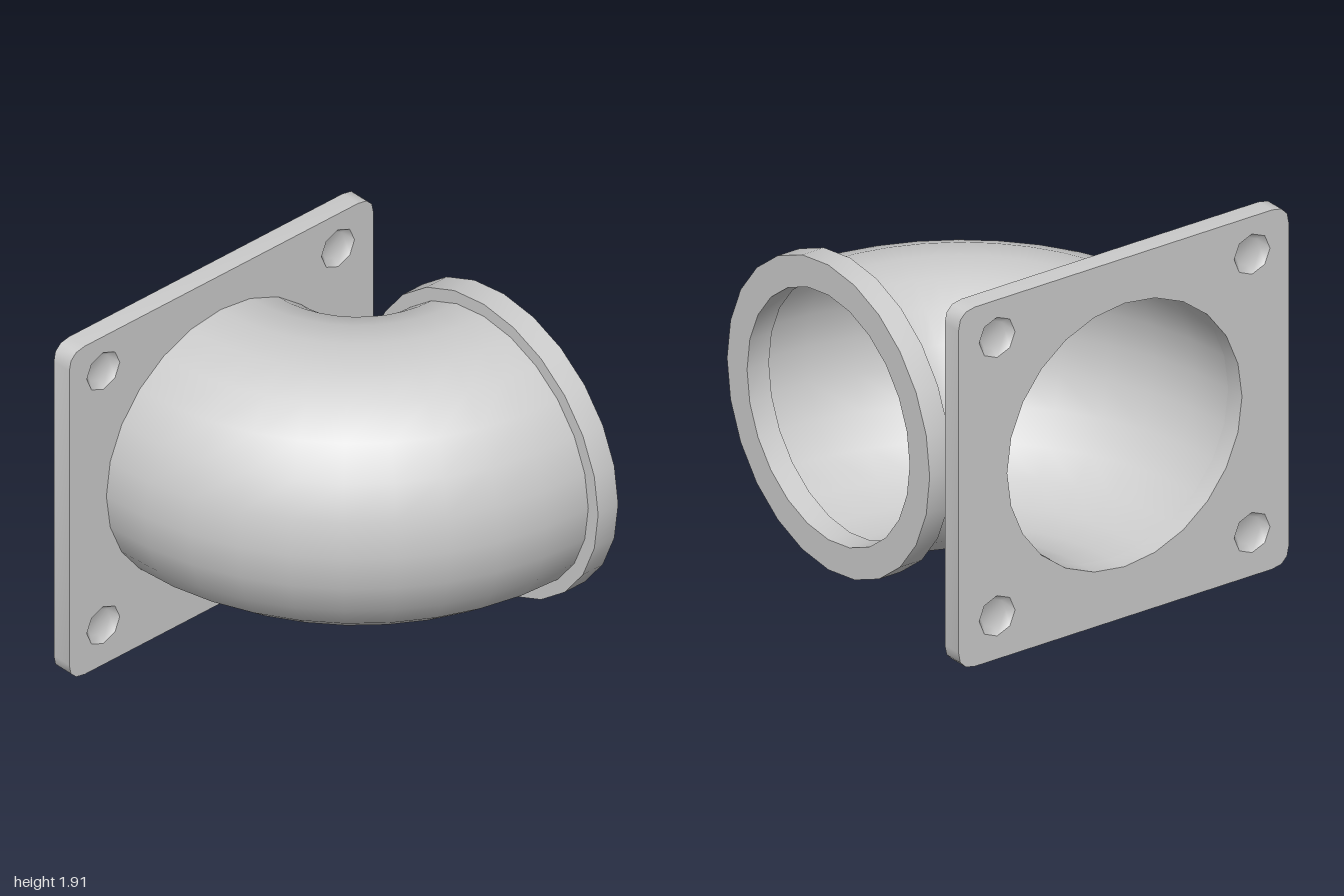
import * as THREE from 'three';
import { toCreasedNormals } from 'three/addons/utils/BufferGeometryUtils.js';

const SIDES = 24;
const CY = 0.97;              // height of the pipe axis
const BEND = 0.89;            // bend radius of the pipe axis
const PIVOT = [0.87, -0.8];   // bend centre in x, z
const PLATE_X = PIVOT[0] - BEND;

function circlePath(x, y, r, sides) {
  const pts = [];
  for (let i = 0; i < sides; i++) {
    const a = (i / sides) * Math.PI * 2;
    pts.push(new THREE.Vector2(x + r * Math.cos(a), y + r * Math.sin(a)));
  }
  return new THREE.Path(pts);
}

function lathe(points, sides) {
  return new THREE.LatheGeometry(points.map(p => new THREE.Vector2(...p)), sides);
}

export function createModel() {
  const group = new THREE.Group();
  const solid = new THREE.MeshStandardMaterial({ color: 0xcccccc });
  const thin = new THREE.MeshStandardMaterial({ color: 0xcccccc, side: THREE.DoubleSide });
  const add = (name, geometry, material) => {
    const mesh = new THREE.Mesh(geometry, material);
    mesh.name = name;
    group.add(mesh);
    return mesh;
  };

  // Square mounting plate with clipped round corners, pipe opening and bolt holes
  const x0 = -1, x1 = 0.97, y0 = 0, y1 = 1.91, c = 0.1;
  const outline = new THREE.Shape();
  outline.moveTo(x0 + c, y0);
  outline.lineTo(x1 - c, y0);
  outline.quadraticCurveTo(x1, y0, x1, y0 + c);
  outline.lineTo(x1, y1 - c);
  outline.quadraticCurveTo(x1, y1, x1 - c, y1);
  outline.lineTo(x0 + c, y1);
  outline.quadraticCurveTo(x0, y1, x0, y1 - c);
  outline.lineTo(x0, y0 + c);
  outline.quadraticCurveTo(x0, y0, x0 + c, y0);
  outline.holes.push(circlePath(PLATE_X, CY, 0.7, SIDES));
  const bolts = [];
  for (const sx of [-1, 1]) for (const sy of [-1, 1]) bolts.push([PLATE_X + sx * 0.76, CY + sy * 0.74]);
  for (const [x, y] of bolts) outline.holes.push(circlePath(x, y, 0.107, 8));
  const plate = new THREE.ExtrudeGeometry(outline, { depth: 0.11, bevelEnabled: false, curveSegments: 3 });
  plate.translate(0, 0, -0.91);
  add('mountingPlate', toCreasedNormals(plate, 0.6), solid);

  // Shallow dished recesses filling each bolt hole from both faces
  for (const [x, y] of bolts) {
    for (const side of [-1, 1]) {
      const dish = lathe([[0, -0.035], [0.075, -0.035], [0.107, 0]], 8);
      dish.rotateX(side * Math.PI / 2);
      add('boltRecess', dish, thin).position.set(x, y, side > 0 ? -0.8 : -0.91);
    }
  }

  // Quarter-bend pipe: outer and inner walls
  for (const [name, r] of [['elbowOuterWall', 0.74], ['elbowInnerWall', 0.7]]) {
    const wall = new THREE.TorusGeometry(BEND, r, SIDES, 10, Math.PI / 2);
    wall.rotateX(Math.PI / 2);
    wall.rotateY(-Math.PI / 2);
    add(name, wall, thin).position.set(PIVOT[0], CY, PIVOT[1]);
  }

  // Round end flange with a slightly narrower opening
  const ring = lathe([[0.65, 0], [0.81, 0], [0.81, 0.13], [0.65, 0.13], [0.65, 0]], SIDES);
  ring.rotateZ(-Math.PI / 2);
  add('endFlange', toCreasedNormals(ring, 0.6), thin).position.set(PIVOT[0], CY, PIVOT[1] + BEND);

  return group;
}
